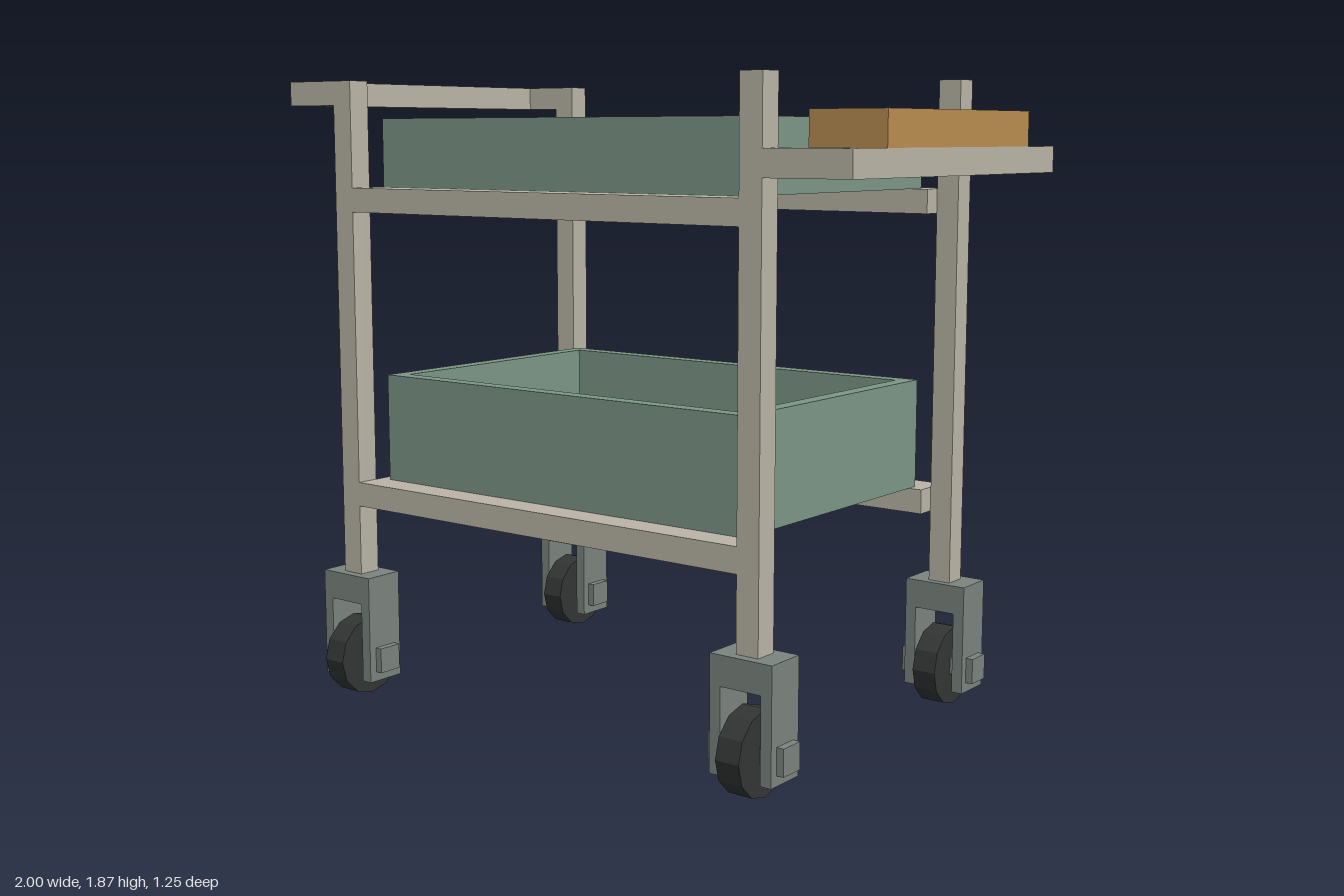
import * as THREE from 'three';

const mat = (color) => new THREE.MeshStandardMaterial({ color, flatShading: true });
const frameMat = mat(0xbab5a6);
const trayMat = mat(0x7c9786);
const woodMat = mat(0xb98d50);
const steelMat = mat(0x7b847f);
const rubberMat = mat(0x333535);

function add(parent, name, geometry, material) {
  const mesh = new THREE.Mesh(geometry, material);
  mesh.name = name;
  parent.add(mesh);
  return mesh;
}

// Box given by its limits on each axis
function box(parent, name, material, [x0, x1], [y0, y1], [z0, z1]) {
  const mesh = add(parent, name, new THREE.BoxGeometry(x1 - x0, y1 - y0, z1 - z0), material);
  mesh.position.set((x0 + x1) / 2, (y0 + y1) / 2, (z0 + z1) / 2);
  return mesh;
}

const polygon = (points) => points.map(([x, y]) => new THREE.Vector2(x, y));
const rect = (x0, x1, z0, z1) => polygon([[x0, z0], [x1, z0], [x1, z1], [x0, z1]]);

// Plan outline (x, z) with holes, raised from y0 to y1
function slab(parent, name, material, outline, holes, y0, y1) {
  const shape = new THREE.Shape(outline);
  holes.forEach((h) => shape.holes.push(new THREE.Path(h)));
  const geometry = new THREE.ExtrudeGeometry(shape, { depth: y1 - y0, bevelEnabled: false });
  geometry.rotateX(-Math.PI / 2).translate(0, y0, 0);
  return add(parent, name, geometry, material);
}

// U-shaped bar in plan, from the posts at xIn out to xOut
function uBar(parent, name, xIn, xOut, y0, y1) {
  const xBar = xOut - Math.sign(xOut) * 0.073;
  const outline = polygon([
    [xIn, -0.537], [xOut, -0.537], [xOut, 0.537], [xIn, 0.537],
    [xIn, 0.467], [xBar, 0.467], [xBar, -0.467], [xIn, -0.467],
  ]);
  return slab(parent, name, frameMat, outline, [], y0, y1);
}

function tray(name, y0, y1) {
  const group = new THREE.Group();
  group.name = name;
  slab(group, 'trayWalls', trayMat, rect(-0.7, 0.627, -0.445, 0.445),
    [rect(-0.653, 0.58, -0.397, 0.397)], y0, y1);
  box(group, 'trayFloor', trayMat, [-0.653, 0.58], [y0, y0 + 0.04], [-0.397, 0.397]);
  return group;
}

function caster() {
  const group = new THREE.Group();
  group.name = 'caster';

  // Fork: an inverted U
  const fork = new THREE.Shape(polygon([
    [-0.098, 0.055], [-0.064, 0.055], [-0.064, 0.296], [0.064, 0.296],
    [0.064, 0.055], [0.098, 0.055], [0.098, 0.381], [-0.098, 0.381],
  ]));
  const forkGeometry = new THREE.ExtrudeGeometry(fork, { depth: 0.124, bevelEnabled: false });
  add(group, 'fork', forkGeometry.translate(0, 0, -0.062), steelMat);

  // Axle, hub and end caps
  box(group, 'axle', steelMat, [-0.098, 0.098], [0.108, 0.136], [-0.014, 0.014]);
  box(group, 'hub', steelMat, [-0.047, 0.047], [0.097, 0.147], [-0.025, 0.025]);
  for (const side of [-1, 1]) {
    const cap = box(group, 'axleCap', steelMat, [-0.0115, 0.0115], [0.084, 0.16], [-0.038, 0.038]);
    cap.position.x = side * 0.1085;
  }

  // Twelve-sided wheel
  const wheel = new THREE.CylinderGeometry(0.12, 0.12, 0.074, 12).rotateZ(Math.PI / 2);
  add(group, 'wheel', wheel, rubberMat).position.y = 0.12;
  return group;
}

export function createModel() {
  const model = new THREE.Group();
  model.name = 'utilityCart';

  // Posts, side rails and casters, mirrored front to back
  for (const side of [-1, 1]) {
    const z = (a, b) => (side > 0 ? [a, b] : [-b, -a]);
    box(model, 'handlePost', frameMat, [-0.81, -0.738], [0.381, 1.798], z(0.467, 0.537));
    box(model, 'rackPost', frameMat, [0.668, 0.738], [0.381, 1.87], z(0.467, 0.537));
    box(model, 'lowerRail', frameMat, [-0.738, 0.668], [0.593, 0.666], z(0.41, 0.537));
    box(model, 'upperRail', frameMat, [-0.738, 0.668], [1.484, 1.556], z(0.41, 0.537));
    for (const x of [-0.774, 0.703]) {
      const wheelUnit = caster();
      wheelUnit.position.set(x, 0, side * 0.504);
      model.add(wheelUnit);
    }
  }

  // Push handle and rack support
  uBar(model, 'pushHandle', -0.738, -1, 1.798, 1.87);
  uBar(model, 'rackSupport', 0.738, 1, 1.606, 1.68);

  // Trays
  model.add(tray('lowerTray', 0.666, 0.99));
  model.add(tray('upperTray', 1.556, 1.76));

  // Wooden tool rack with three square holes
  const holes = [-0.265, 0, 0.265].map((z) => rect(0.803, 0.888, z - 0.049, z + 0.049));
  slab(model, 'toolRack', woodMat, rect(0.77, 1, -0.378, 0.378), holes, 1.68, 1.777);

  return model;
}
